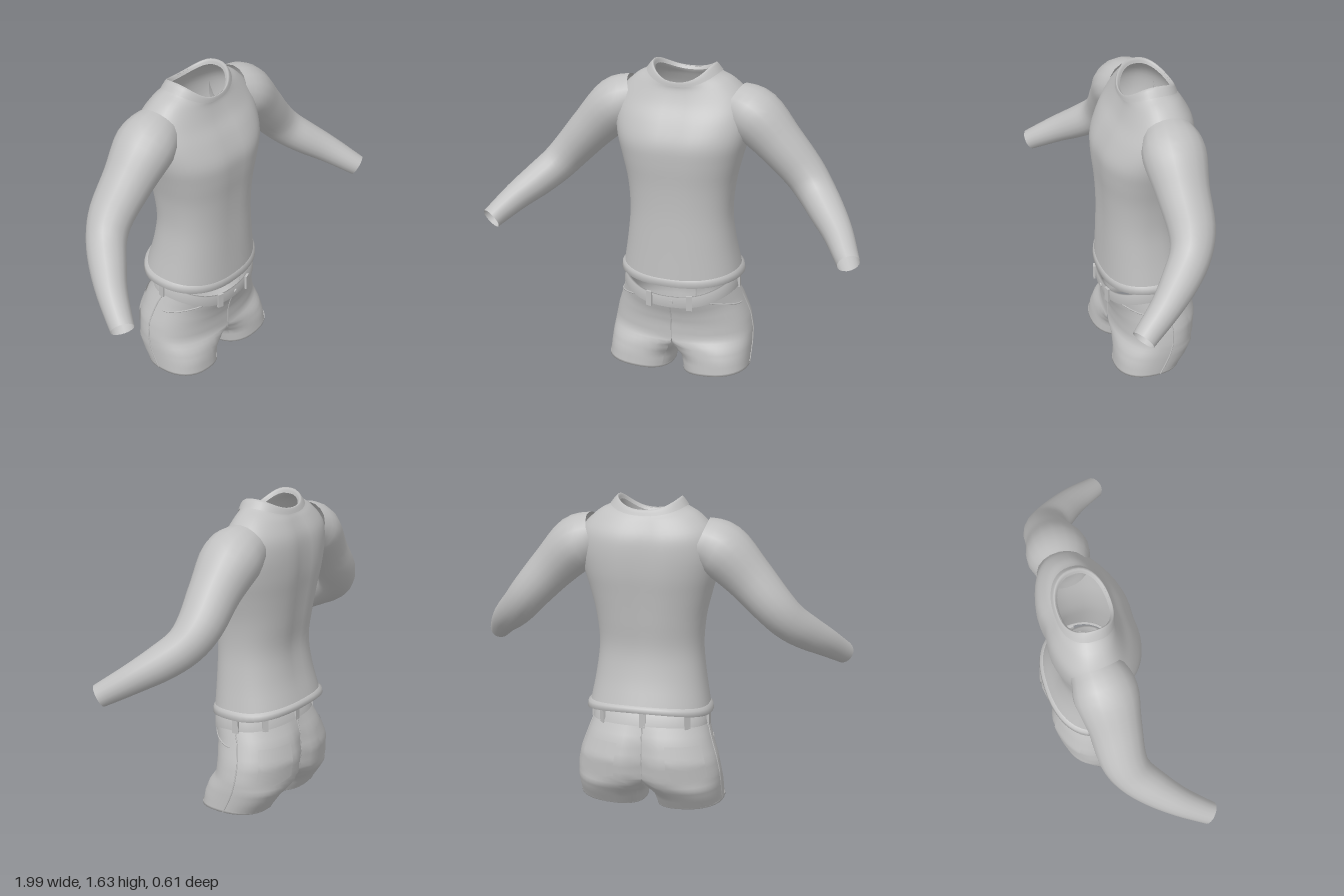
import * as THREE from 'three';

const fabric = new THREE.MeshStandardMaterial({ color: 0xc0c0c0, side: THREE.DoubleSide });
fabric.name = 'grey fabric';

const lerp = THREE.MathUtils.lerp;
const rounded = (c) => Math.sign(c) * Math.abs(c) ** 0.85; // superellipse term

// Row of numbers at position v in a table, linear or smooth
function rowAt(rows, v, smooth) {
  const last = rows.length - 1;
  const i = Math.min(Math.floor(v), last - 1), t = v - i;
  return rows[i].map((b, k) => {
    const c = rows[i + 1][k];
    if (!smooth) return lerp(b, c, t);
    const m0 = i > 0 ? (c - rows[i - 1][k]) / 2 : c - b;
    const m1 = i + 2 <= last ? (rows[i + 2][k] - b) / 2 : c - b;
    const t2 = t * t, t3 = t2 * t;
    return (2 * t3 - 3 * t2 + 1) * b + (t3 - 2 * t2 + t) * m0 + (3 * t2 - 2 * t3) * c + (t3 - t2) * m1;
  });
}

// Surface through point(u, v), u and v in 0..1; closed joins the u ends
function surface(name, point, nu, nv, closed = false) {
  const pos = [], idx = [], cols = closed ? nu : nu + 1;
  for (let j = 0; j <= nv; j++)
    for (let i = 0; i < cols; i++) pos.push(...point(i / nu, j / nv));
  for (let j = 0; j < nv; j++)
    for (let i = 0; i < nu; i++) {
      const a = j * cols + i, b = j * cols + ((i + 1) % cols);
      idx.push(a, a + cols, b, b, a + cols, b + cols);
    }
  const geo = new THREE.BufferGeometry();
  geo.setAttribute('position', new THREE.Float32BufferAttribute(pos, 3));
  geo.setIndex(idx);
  geo.computeVertexNormals();
  const mesh = new THREE.Mesh(geo, fabric);
  mesh.name = name;
  return mesh;
}

// Point on a body ring: [side y, front y, back y, half width, front z, back z]
function ring([ys, yf, yb, w, zf, zb], ang) {
  const s = Math.sin(ang);
  return [w * rounded(Math.cos(ang)), lerp(ys, s > 0 ? yf : yb, s * s),
    (zf + zb) / 2 + ((zf - zb) / 2) * rounded(s)];
}
const bodyLoft = (name, rows, nu, nv, smooth) => surface(name,
  (u, v) => ring(rowAt(rows, v * (rows.length - 1), smooth), u * Math.PI * 2), nu, nv, true);

const torsoRows = [
  [0.565, 0.535, 0.595, 0.310, 0.170, -0.288],
  [0.72, 0.70, 0.73, 0.283, 0.165, -0.250],
  [0.87, 0.87, 0.87, 0.268, 0.162, -0.232],
  [1.02, 1.02, 1.02, 0.280, 0.168, -0.250],
  [1.15, 1.15, 1.15, 0.310, 0.180, -0.268],
  [1.26, 1.25, 1.26, 0.340, 0.178, -0.283],
  [1.37, 1.35, 1.37, 0.355, 0.135, -0.285],
  [1.47, 1.43, 1.45, 0.335, 0.085, -0.272],
  [1.55, 1.50, 1.52, 0.260, 0.055, -0.235],
  [1.59, 1.53, 1.55, 0.190, 0.050, -0.212],
  [1.625, 1.545, 1.575, 0.160, 0.048, -0.198],
];
const hemRows = [
  [0.575, 0.545, 0.600, 0.306, 0.168, -0.285],
  [0.562, 0.535, 0.592, 0.322, 0.176, -0.302],
  [0.532, 0.505, 0.568, 0.326, 0.178, -0.306],
  [0.532, 0.505, 0.568, 0.312, 0.166, -0.292],
];
const collarRows = [
  [0, 0, 0, 0.194, 0.058, -0.218], [0, 0, 0, 0.160, 0.054, -0.204], [0, 0, 0, 0.148, 0.038, -0.190],
];
[[1.592, 1.525, 1.55], [1.632, 1.548, 1.578], [1.605, 1.53, 1.56]]
  .forEach((ys, i) => collarRows[i].splice(0, 3, ...ys));

// Torso with a shallow groove down the spine
function torso() {
  return surface('shirtBody', (u, v) => {
    const p = ring(rowAt(torsoRows, v * (torsoRows.length - 1), true), u * Math.PI * 2);
    const groove = Math.sin(Math.PI * v) * Math.exp(-((p[0] / 0.06) ** 2));
    p[2] += (p[2] < -0.05 ? 0.018 : -0.008) * groove;
    return p;
  }, 48, 40, true);
}

// Sleeve sections: centre x, y, z, then radii across and in depth
const sleeveRows = [
  [0.26, 1.425, -0.10, 0.12, 0.125],
  [0.37, 1.375, -0.09, 0.14, 0.155],
  [0.50, 1.25, -0.085, 0.12, 0.13],
  [0.62, 1.12, -0.085, 0.105, 0.115],
  [0.70, 1.03, -0.05, 0.096, 0.10],
  [0.78, 0.955, 0.03, 0.088, 0.09],
  [0.86, 0.885, 0.13, 0.074, 0.074],
  [0.945, 0.795, 0.27, 0.056, 0.058],
];
function sleeve(side) {
  const n = sleeveRows.length - 1;
  return surface(side > 0 ? 'leftSleeve' : 'rightSleeve', (u, v) => {
    const [x, y, z, r, d] = rowAt(sleeveRows, v * n, true);
    const centre = (t) => new THREE.Vector3(...rowAt(sleeveRows, t * n, true));
    const along = centre(Math.min(v + 0.01, 1)).sub(centre(Math.max(v - 0.01, 0))).normalize();
    const depth = new THREE.Vector3(0, 0, 1).addScaledVector(along, -along.z).normalize();
    const up = depth.clone().cross(along);
    const a = side * u * Math.PI * 2;
    const p = new THREE.Vector3(x, y, z)
      .addScaledVector(up, r * Math.cos(a)).addScaledVector(depth, d * Math.sin(a));
    return [side * p.x, p.y, p.z];
  }, 18, 28, true);
}

// Shorts rows: front, side, back y, centre x, radius x, front z, back z, swept angle
const H = Math.PI / 2;
const shortsRows = [
  [0.04, 0.04, 0.04, 0.208, 0.172, 0.160, -0.180, 2.5],
  [0.10, 0.10, 0.10, 0.198, 0.182, 0.153, -0.228, 2.45],
  [0.15, 0.16, 0.15, 0.150, 0.230, 0.142, -0.270, 2.1],
  [0.20, 0.22, 0.20, 0, 0.376, 0.128, -0.295, H],
  [0.28, 0.30, 0.30, 0, 0.360, 0.128, -0.305, H],
  [0.34, 0.40, 0.40, 0, 0.325, 0.140, -0.278, H],
  [0.395, 0.475, 0.485, 0, 0.300, 0.160, -0.235, H],
];
function shortsAt(row, ang, inset = 0) {
  const [yf, ys, yb, cx, rx, zf, zb] = row;
  const c = Math.cos(ang), s = -Math.sin(ang);
  const x = Math.max(cx + (rx - inset) * rounded(c), cx > 0 ? 0.004 : 0);
  let y = lerp(ys, s > 0 ? yf : yb, s * s);
  y -= 0.035 * Math.max(0, 1 - y / 0.16) * (1 - c) / 1.5;
  let z = (zf + zb) / 2 + ((zf - zb) / 2 - inset) * rounded(s);
  if (s < 0) z += 0.04 * Math.sin(Math.PI * Math.min(y / 0.48, 1)) * Math.exp(-((x / 0.05) ** 2));
  return [x, y, z];
}
// u runs from centre front round the hip to centre back, v counts rows
function hip(u, v, inset = 0) {
  const row = rowAt(shortsRows, v);
  return shortsAt(row, lerp(-row[7], row[7], u), inset);
}
// Inside of the leg, rising to the crotch seam
function innerLeg(u, v) {
  const sag = rowAt([[0], [0.012], [0.045], [0.085]], v)[0] * Math.sin(Math.PI * u);
  const at = (k) => {
    if (k === 3) {
      const b = hip(1, 3), f = hip(0, 3);
      return b.map((q, i) => lerp(q, f[i], u));
    }
    const a = shortsRows[k][7];
    return shortsAt(shortsRows[k], lerp(a, 2 * Math.PI - a, u));
  };
  const p = rowAt([0, 1, 2, 3].map(at), v);
  p[1] -= sag;
  return p;
}

function shortsHalf(side) {
  const half = new THREE.Group();
  half.name = side > 0 ? 'leftShorts' : 'rightShorts';
  const flip = ([x, y, z]) => [side * x, y, z];
  const dir = (u) => (side > 0 ? u : 1 - u);
  const piece = (name, f, nu, nv, closed) =>
    half.add(surface(name, (u, v) => flip(f(dir(u), v)), nu, nv, closed));
  piece('hipPanel', (u, v) => hip(u, v * 6), 28, 18);
  piece('innerLeg', (u, v) => innerLeg(u, v * 3), 12, 9);
  // Turned hem inside the leg opening
  piece('legHem', (u, v) => {
    const [inset, lift] = rowAt([[-0.003, 0.012], [-0.003, 0], [0.014, 0], [0.014, 0.04]], v * 3);
    const p = shortsAt(shortsRows[0], u * Math.PI * 2, inset);
    p[1] += lift;
    return p;
  }, 32, 3, true);
  // Back pocket with a pointed lower edge
  piece('backPocket', (u, v) => {
    const low = 2.75 + 0.4 * Math.abs(u - 0.5) * 2;
    return hip(lerp(0.67, 0.9, u), lerp(low, 4.9, v), -0.006);
  }, 10, 10);
  // Side seam, front pocket edge and centre seams
  const seam = (name, f) => {
    const pts = Array.from({ length: 15 }, (_, i) => new THREE.Vector3(...flip(f(i / 14))));
    const mesh = new THREE.Mesh(new THREE.TubeGeometry(new THREE.CatmullRomCurve3(pts), 28, 0.004, 5), fabric);
    mesh.name = name;
    half.add(mesh);
  };
  seam('sideSeam', (t) => hip(0.52, t * 6));
  seam('frontPocketEdge', (t) => hip(lerp(0.2, 0.47, t), 5.95 - 1.1 * Math.sin(t * H)));
  if (side > 0) {
    seam('flySeam', (t) => hip(0, lerp(3, 6, t)));
    seam('backSeam', (t) => hip(1, lerp(3, 6, t)));
  }
  return half;
}

const bandRows = [
  [0.468, 0.388, 0.478, 0.300, 0.160, -0.236],
  [0.468, 0.388, 0.478, 0.307, 0.167, -0.243],
  [0.528, 0.445, 0.540, 0.298, 0.168, -0.218],
  [0.528, 0.445, 0.540, 0.288, 0.158, -0.208],
  [0.470, 0.390, 0.480, 0.294, 0.154, -0.230],
];

export function createModel() {
  const model = new THREE.Group();
  model.name = 'outfit';
  const shirt = new THREE.Group();
  shirt.name = 'shirt';
  shirt.add(torso(), sleeve(1), sleeve(-1),
    bodyLoft('shirtHem', hemRows, 48, 3), bodyLoft('collar', collarRows, 40, 6, true));

  const shorts = new THREE.Group();
  shorts.name = 'shorts';
  shorts.add(shortsHalf(1), shortsHalf(-1), bodyLoft('waistband', bandRows, 48, 4));
  // Belt loops around the waistband
  for (const a of [H - 0.3, H + 0.3, -0.12, Math.PI + 0.12, -H + 0.75, -H - 0.75, -H]) {
    const lo = new THREE.Vector3(...ring(bandRows[1], a)), hi = new THREE.Vector3(...ring(bandRows[2], a));
    const loop = new THREE.Mesh(new THREE.BoxGeometry(0.032, 0.08, 0.012), fabric);
    loop.name = 'beltLoop';
    loop.position.copy(lo).add(hi).multiplyScalar(0.5);
    loop.position.x += 0.006 * Math.cos(a);
    loop.position.z += 0.006 * Math.sin(a);
    loop.rotation.y = H - a;
    shorts.add(loop);
  }
  const button = new THREE.Mesh(new THREE.CylinderGeometry(0.011, 0.011, 0.008, 14), fabric);
  button.name = 'button';
  button.rotation.x = H;
  button.position.set(0.012, 0.418, 0.17);
  shorts.add(button);

  model.add(shirt, shorts);
  return model;
}
